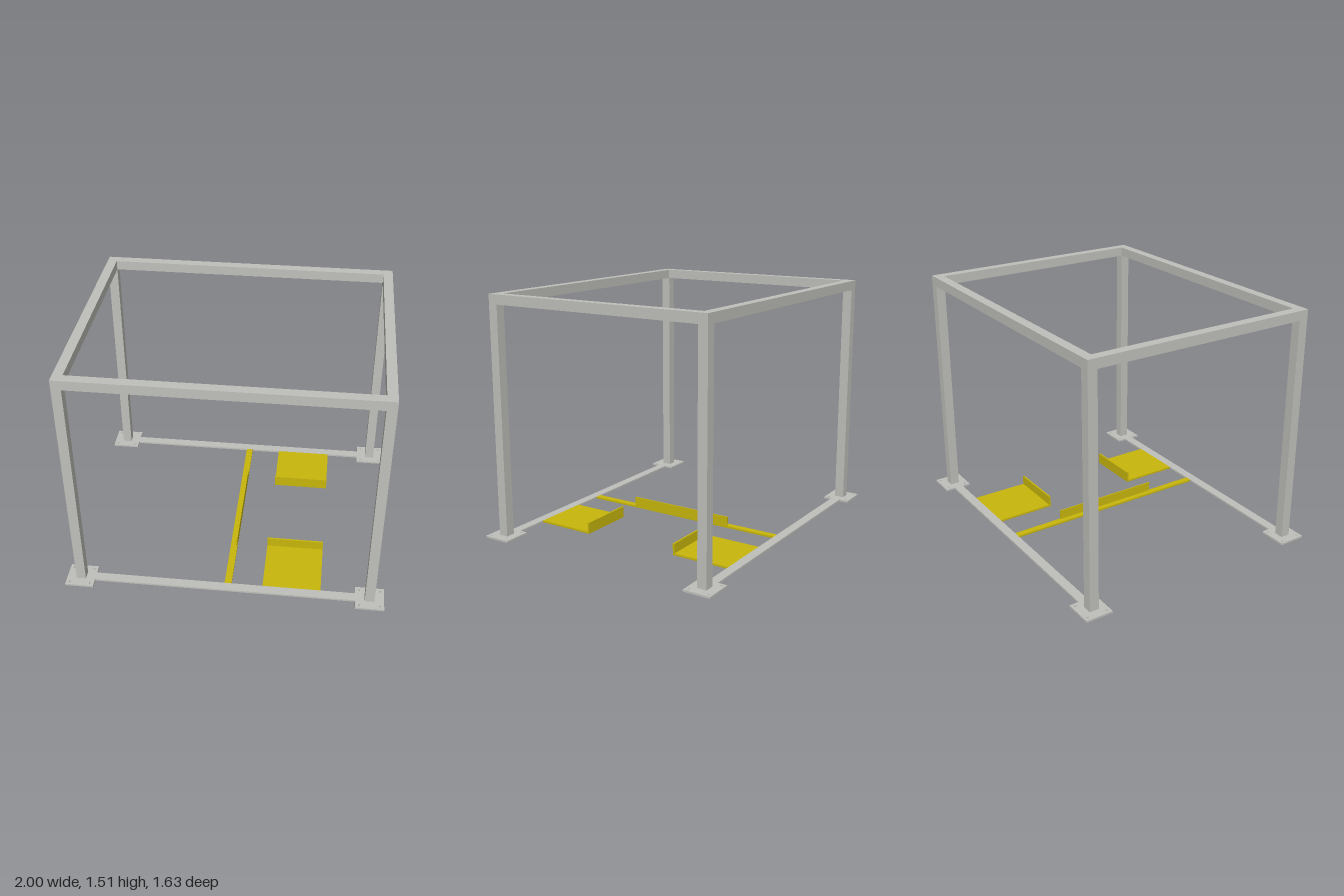
import * as THREE from 'three';

const steel = new THREE.MeshStandardMaterial({ color: 0xbfbfba });
steel.name = 'grey steel';
const yellow = new THREE.MeshStandardMaterial({ color: 0xc8b60c });
yellow.name = 'yellow paint';

const T = 0.012; // sheet thickness
const OX = 0.94, OZ = 0.755, W = 0.06, TOP = 1.515; // outer frame size and tube width

function box(parent, name, mat, x0, x1, y0, y1, z0, z1) {
  const mesh = new THREE.Mesh(new THREE.BoxGeometry(x1 - x0, y1 - y0, z1 - z0), mat);
  mesh.position.set((x0 + x1) / 2, (y0 + y1) / 2, (z0 + z1) / 2);
  mesh.name = name;
  parent.add(mesh);
}

function rect(path, x, z) {
  path.moveTo(-x, -z);
  path.lineTo(x, -z);
  path.lineTo(x, z);
  path.lineTo(-x, z);
  path.closePath();
  return path;
}

// Extrude a floor-plan shape upwards
function slab(shape, height) {
  return new THREE.ExtrudeGeometry(shape, { depth: height, bevelEnabled: false, curveSegments: 8 }).rotateX(-Math.PI / 2);
}

export function createModel() {
  const model = new THREE.Group();
  model.name = 'liftFrame';

  // Top ring of square tube
  const ring = rect(new THREE.Shape(), OX, OZ);
  ring.holes.push(rect(new THREE.Path(), OX - W, OZ - W));
  const topFrame = new THREE.Mesh(slab(ring, W), steel);
  topFrame.position.y = TOP - W;
  topFrame.name = 'topFrame';
  model.add(topFrame);

  // Foot plate with four bolt holes
  const plate = rect(new THREE.Shape(), 0.09, 0.0875);
  for (const sx of [-1, 1]) for (const sz of [-1, 1]) {
    plate.holes.push(new THREE.Path().absarc(sx * 0.065, sz * 0.0635, 0.007, 0, Math.PI * 2, true));
  }
  const plateGeometry = slab(plate, T);

  // Posts and foot plates at the corners
  for (const sx of [-1, 1]) for (const sz of [-1, 1]) {
    const foot = new THREE.Mesh(plateGeometry, steel);
    foot.position.set(sx * 0.91, 0, sz * 0.7275);
    foot.name = 'footPlate';
    model.add(foot);
    const cx = sx * (OX - W / 2), cz = sz * (OZ - W / 2);
    box(model, 'post', steel, cx - W / 2, cx + W / 2, T, TOP - W, cz - W / 2, cz + W / 2);
  }

  for (const s of [-1, 1]) {
    const span = (a, b) => (s > 0 ? [a, b] : [-b, -a]);
    // Flat floor bar joining two feet
    box(model, 'floorBar', steel, -0.82, 0.82, 0, T, ...span(OZ - W, OZ));
    // Pad with an upright lip on its inner edge
    box(model, 'pad', yellow, 0.24, 0.605, 0, T, ...span(0.315, OZ - W));
    box(model, 'padLip', yellow, 0.24, 0.605, T, 0.073, ...span(0.315, 0.326));
  }

  // Cross strip with an upright guide
  box(model, 'crossStrip', yellow, 0, 0.044, 0, T, W - OZ, OZ - W);
  box(model, 'guideLip', yellow, 0.036, 0.044, T, 0.073, -0.36, 0.36);
  return model;
}
